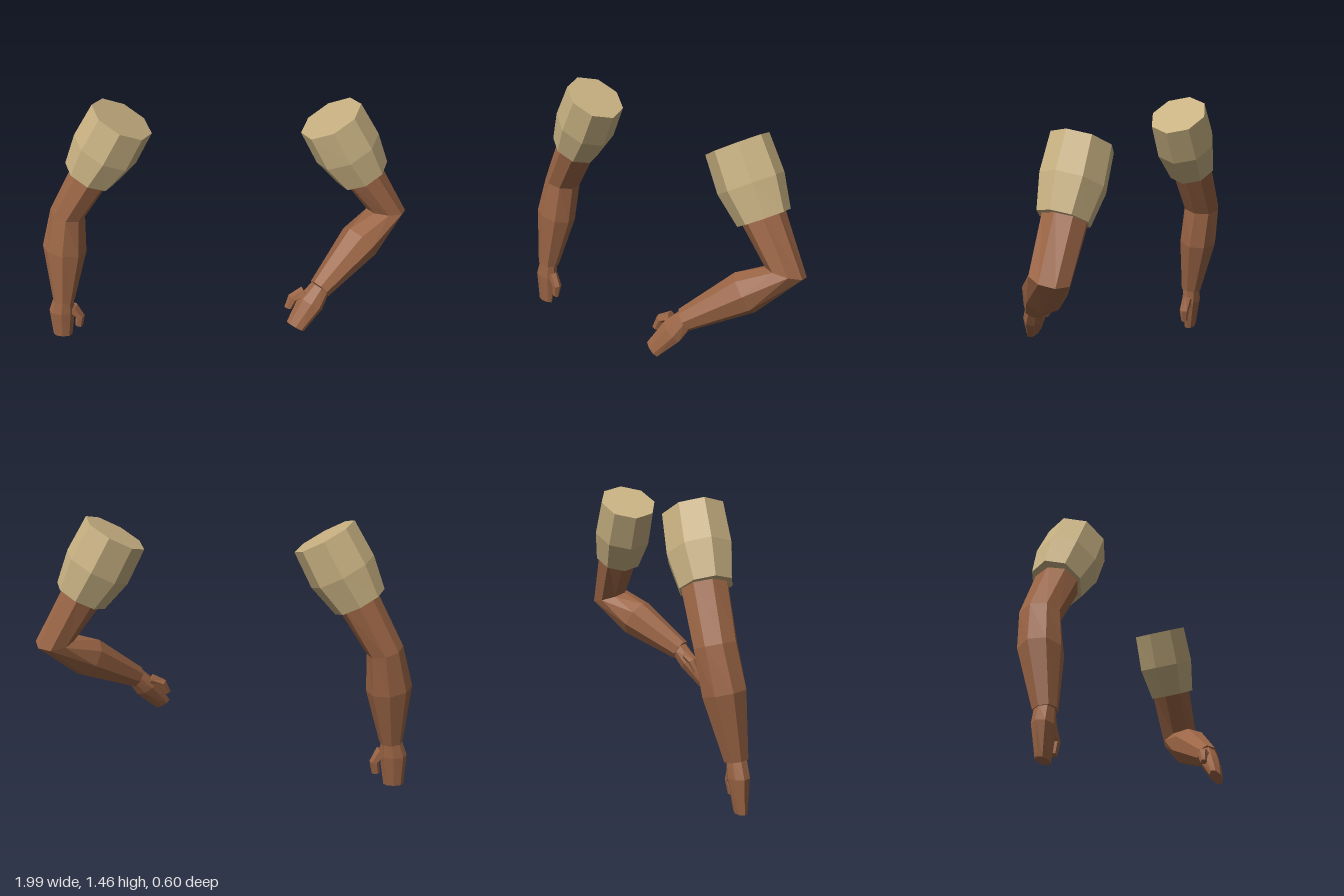
import * as THREE from 'three';

const SIDES = 8;

// Faceted closed loft. Each ring: [centre, direction, half-width across x, half-depth].
function loft(name, material, rings, sides = SIDES) {
  const loops = rings.map(([c, d, ru, rv]) => {
    const n = new THREE.Vector3(...d).normalize();
    const u = new THREE.Vector3(1, 0, 0).addScaledVector(n, -n.x).normalize();
    const v = new THREE.Vector3().crossVectors(n, u);
    const centre = new THREE.Vector3(...c);
    return Array.from({ length: sides }, (_, j) => {
      const a = (j / sides) * Math.PI * 2;
      return centre.clone().addScaledVector(u, ru * Math.cos(a)).addScaledVector(v, rv * Math.sin(a));
    });
  });
  const pos = [];
  const tri = (...pts) => pts.forEach((p) => pos.push(p.x, p.y, p.z));
  const last = loops[loops.length - 1];
  for (let j = 0; j < sides; j++) {
    const k = (j + 1) % sides;
    for (let i = 0; i < loops.length - 1; i++) {
      const [a, b] = [loops[i], loops[i + 1]];
      tri(a[j], a[k], b[j]);
      tri(a[k], b[k], b[j]);
    }
    // End caps
    if (j > 0 && k > 0) {
      tri(loops[0][0], loops[0][k], loops[0][j]);
      tri(last[0], last[j], last[k]);
    }
  }
  const geometry = new THREE.BufferGeometry();
  geometry.setAttribute('position', new THREE.Float32BufferAttribute(pos, 3));
  geometry.computeVertexNormals(); // unshared corners keep facets flat
  const mesh = new THREE.Mesh(geometry, material);
  mesh.name = name;
  return mesh;
}

export function createModel() {
  const cloth = new THREE.MeshStandardMaterial({ color: 0xc8b182 });
  cloth.name = 'tan cloth';
  const skin = new THREE.MeshStandardMaterial({ color: 0x9b6545 });
  skin.name = 'brown skin';

  const model = new THREE.Group();
  model.name = 'arms';

  // Sleeve, mirrored by side (-1 right, +1 left)
  const sleeve = (s, shift) => {
    const d = [s * 0.49, -0.87, 0];
    return loft('sleeve', cloth, [
      [[s * 0.52 + shift, 1.385, -0.127], d, 0.172, 0.158],
      [[s * 0.617 + shift, 1.205, -0.13], d, 0.179, 0.165],
      [[s * 0.71 + shift, 1.05, -0.132], d, 0.142, 0.133],
    ]);
  };
  const upperStart = (s, shift) =>
    [[s * 0.69 + shift, 1.075, -0.135], [s * 0.49, -0.87, 0], 0.11, 0.12];

  // Right arm, hanging almost straight
  const right = new THREE.Group();
  right.name = 'rightArm';
  right.add(
    sleeve(-1, 0),
    loft('arm', skin, [
      upperStart(-1, 0),
      [[-0.848, 0.797, -0.137], [-0.26, -0.96, 0.1], 0.096, 0.108],
      [[-0.88, 0.58, -0.105], [-0.16, -0.98, 0.15], 0.121, 0.11],
      [[-0.907, 0.26, -0.053], [-0.08, -1, 0.13], 0.062, 0.061],
    ]),
    loft('hand', skin, [
      [[-0.907, 0.27, -0.053], [-0.05, -1, 0.05], 0.055, 0.05],
      [[-0.922, 0.18, -0.048], [-0.05, -1, 0.05], 0.073, 0.052],
      [[-0.931, 0.008, -0.04], [-0.05, -1, 0.05], 0.054, 0.028],
    ]),
    loft('thumb', skin, [
      [[-0.865, 0.2, -0.049], [0.6, -0.8, 0], 0.04, 0.03],
      [[-0.822, 0.137, -0.047], [0.1, -1, 0], 0.026, 0.028],
      [[-0.834, 0.07, -0.044], [-0.2, -1, 0], 0.022, 0.018],
    ], 6),
  );

  // Left arm, bent forward and inward at the elbow
  const fore = [-0.65, -0.51, 0.56];
  const palm = [-0.51, -0.76, 0.39];
  const left = new THREE.Group();
  left.name = 'leftArm';
  left.add(
    sleeve(1, 0.033),
    loft('arm', skin, [
      upperStart(1, 0.033),
      [[0.89, 0.803, -0.145], [-0.05, -1, 0.28], 0.105, 0.106],
      [[0.74, 0.68, -0.02], fore, 0.112, 0.112],
      [[0.517, 0.51, 0.178], fore, 0.062, 0.062],
    ]),
    loft('hand', skin, [
      [[0.522, 0.518, 0.173], palm, 0.055, 0.05],
      [[0.468, 0.44, 0.213], palm, 0.073, 0.052],
      [[0.386, 0.325, 0.274], palm, 0.053, 0.028],
    ]),
    loft('thumb', skin, [
      [[0.435, 0.495, 0.188], [-0.88, -0.42, 0.2], 0.035, 0.03],
      [[0.372, 0.468, 0.202], [-0.6, -0.75, 0.25], 0.028, 0.028],
      [[0.348, 0.41, 0.218], [-0.3, -0.9, 0.3], 0.021, 0.018],
    ], 6),
  );

  model.add(right, left);
  return model;
}
